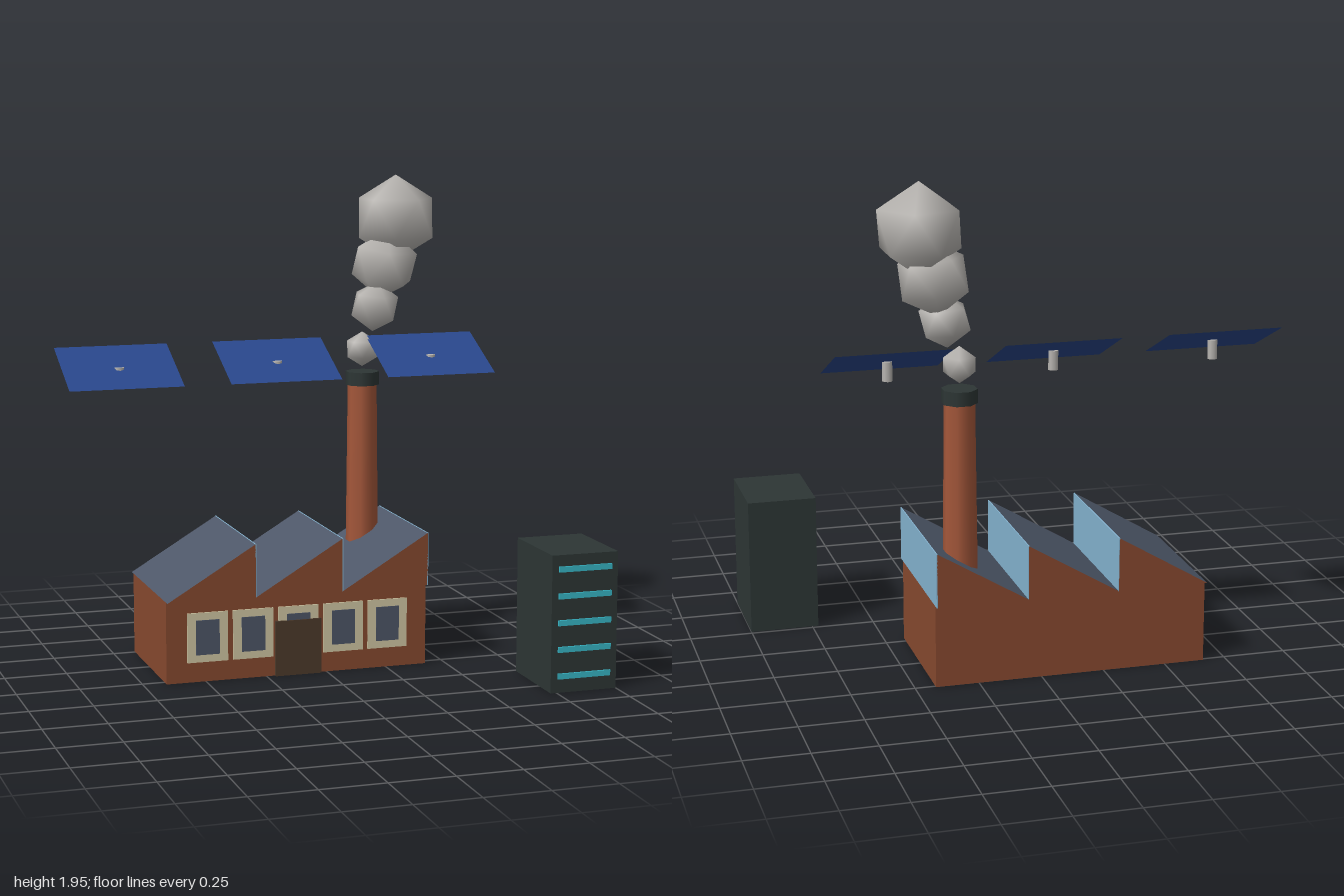
import * as THREE from 'three';
import { mergeVertices } from 'three/addons/utils/BufferGeometryUtils.js';

const mat = (name, color, extra = {}) => {
  const m = new THREE.MeshStandardMaterial({ color, ...extra });
  m.name = name;
  return m;
};

export function createModel() {
  const model = new THREE.Group();
  model.name = 'factory';

  const brick = mat('brick', 0x87492f);
  const chimneyBrick = mat('chimneyBrick', 0xa4573a);
  const slate = mat('slate', 0x4e5768);
  const skylight = mat('skylight', 0x84b3d0);
  const cream = mat('cream', 0xd2c8a4);
  const wood = mat('wood', 0x4d3a2b);
  const charcoal = mat('charcoal', 0x2d3635);
  const cyan = mat('cyan', 0x37b7c7);
  const panelBlue = mat('panelBlue', 0x29478c, { side: THREE.DoubleSide });
  const smokeGrey = mat('smokeGrey', 0xb8b5b1);

  const add = (name, geometry, material, x, y, z, parent = model) => {
    const mesh = new THREE.Mesh(geometry, material);
    mesh.name = name;
    mesh.position.set(x, y, z);
    parent.add(mesh);
    return mesh;
  };
  const box = (name, material, w, h, d, x, y, z, parent) =>
    add(name, new THREE.BoxGeometry(w, h, d), material, x, y, z, parent);

  // Main hall
  const front = 0.035;
  box('hall', brick, 1.08, 0.33, 0.545, -0.12, 0.165, front - 0.2725);

  // Sawtooth roof: brick gables, slate slopes, glazed upright faces
  const tooth = new THREE.Shape([
    new THREE.Vector2(0, 0), new THREE.Vector2(0.36, 0), new THREE.Vector2(0.36, 0.215),
  ]);
  for (let i = 0; i < 3; i++) {
    const x = -0.66 + i * 0.36;
    const geometry = new THREE.ExtrudeGeometry(tooth, { depth: 0.6, bevelEnabled: false });
    add('roofTooth', geometry, [brick, slate], x, 0.33, -0.54);
    box('roofGlazing', skylight, 0.004, 0.215, 0.6, x + 0.36, 0.4375, -0.24);
  }

  // Windows and door
  for (let i = 0; i < 5; i++) {
    const x = -0.493 + i * 0.187;
    box('windowFrame', cream, 0.166, 0.2, 0.006, x, 0.18, front + 0.003);
    box('windowPane', slate, 0.096, 0.14, 0.004, x, 0.18, front + 0.007);
  }
  box('door', wood, 0.19, 0.224, 0.014, -0.12, 0.112, front + 0.007);

  // Chimney with a dark cap
  const eighth = Math.PI / 8;
  const cx = 0.295, cz = -0.402;
  add('chimney', new THREE.CylinderGeometry(0.06, 0.072, 1.1, 8).rotateY(eighth),
    chimneyBrick, cx, 0.55, cz);
  add('chimneyCap', new THREE.CylinderGeometry(0.07, 0.07, 0.055, 8).rotateY(eighth),
    charcoal, cx, 1.118, cz);

  // Smoke: smooth-shaded icosahedra, one corner pointing up
  const puff = (r) => {
    let g = new THREE.IcosahedronGeometry(r, 0);
    g.deleteAttribute('uv');
    g.deleteAttribute('normal');
    g = mergeVertices(g, 1e-4);
    g.rotateX(-Math.atan((1 + Math.sqrt(5)) / 2));
    g.computeVertexNormals();
    return g;
  };
  const smoke = new THREE.Group();
  smoke.name = 'smoke';
  model.add(smoke);
  // radius, x, y, z, yaw, roll
  [
    [0.072, 0.295, 1.238, -0.404, 2.9, 0],
    [0.104, 0.352, 1.412, -0.41, 2.6, 0.1],
    [0.145, 0.402, 1.583, -0.437, 2.3, 0.16],
    [0.178, 0.457, 1.772, -0.455, Math.PI - 0.32, 0],
  ].forEach(([r, x, y, z, yaw, roll]) => {
    add('smokePuff', puff(r), smokeGrey, x, y, z, smoke).rotation.set(0, yaw, roll);
  });

  // Floating solar panels, tilted toward the front, each on a short stub
  const tilt = Math.atan2(0.135, 0.29);
  for (const x of [-0.77, -0.12, 0.535]) {
    const unit = new THREE.Group();
    unit.name = 'solarPanel';
    unit.position.set(x, 1.227, -0.245);
    model.add(unit);
    add('panelSheet', new THREE.PlaneGeometry(0.46, 0.32).rotateX(-Math.PI / 2),
      panelBlue, 0, 0, 0, unit).rotation.x = tilt;
    add('panelStub', new THREE.CylinderGeometry(0.02, 0.02, 0.077, 8),
      smokeGrey, 0, -0.0395, 0.006, unit);
  }

  // Server cabinet with light strips
  box('cabinet', charcoal, 0.275, 0.546, 0.353, 0.8625, 0.273, 0.4405);
  for (let i = 0; i < 5; i++) {
    box('lightStrip', cyan, 0.22, 0.022, 0.008, 0.8625, 0.066 + i * 0.106, 0.621);
  }

  return model;
}
